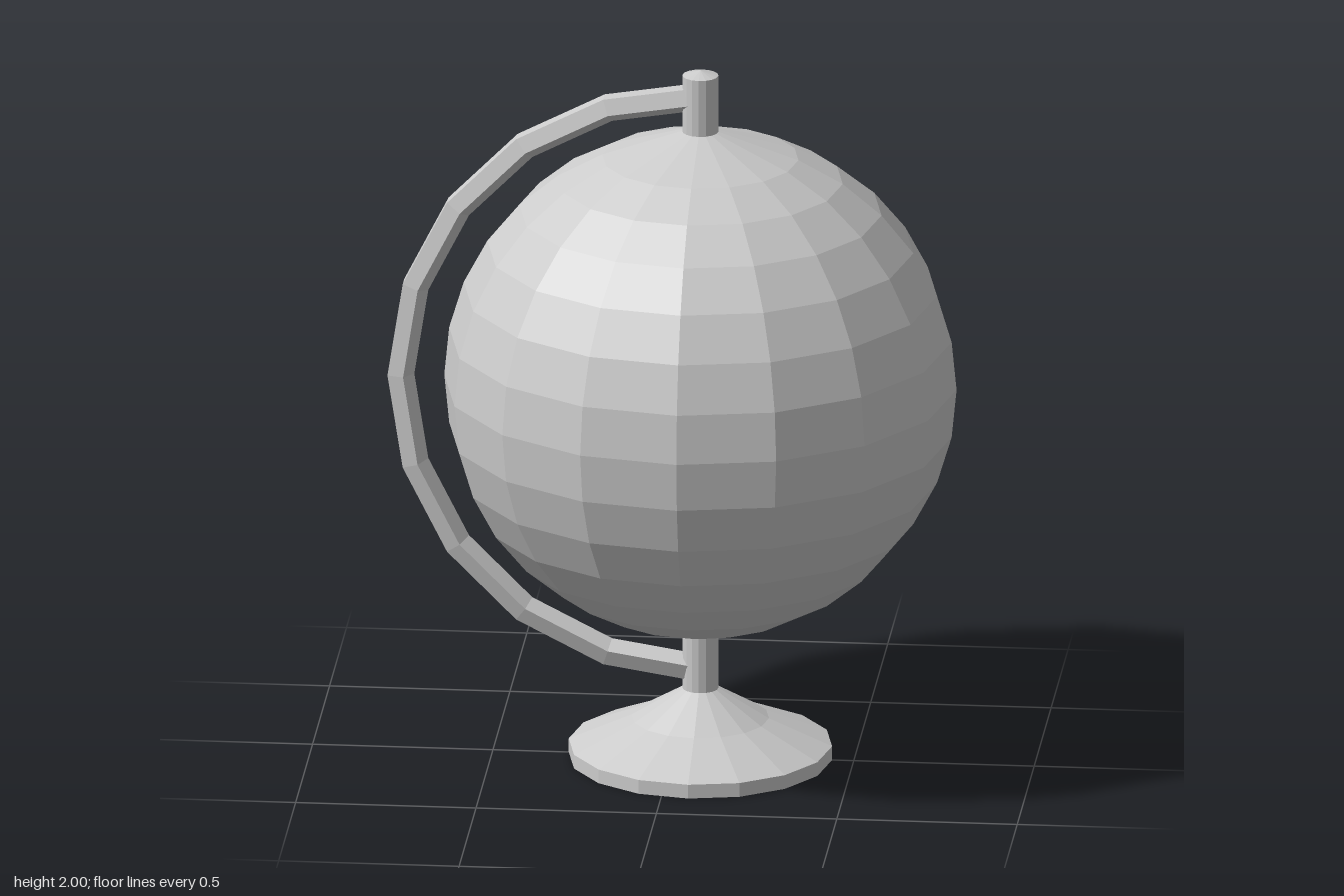
import * as THREE from 'three';

const AXIS_X = 0.075, CENTRE_Y = 1.09, SIDES = 16;
const GLOBE_R = 0.71, POLE_R = 0.05, ARM_R = 0.833, ARM_THICK = 0.04;

export function createModel() {
  const model = new THREE.Group();
  const material = new THREE.MeshStandardMaterial({ color: 0xcccccc, flatShading: true });

  const add = (name, geometry) => {
    const mesh = new THREE.Mesh(geometry, material);
    mesh.name = name;
    mesh.position.x = AXIS_X;
    model.add(mesh);
    return mesh;
  };
  // Profiles are [radius, height] pairs running from bottom to top
  const turned = (profile) =>
    new THREE.LatheGeometry(profile.map(([r, y]) => new THREE.Vector2(r, y)), SIDES);

  // Foot: thin rim with a slightly concave cone above
  add('base', turned([[0, 0], [0.365, 0], [0.365, 0.04], [0.19, 0.116], [POLE_R, 0.2]]));

  // Axle stubs below and above the globe
  add('lowerAxle', turned([[POLE_R, 0.19], [POLE_R, 0.37]]));
  add('upperAxle', turned([[POLE_R, 1.81], [POLE_R, 1.985], [0, 2]]));

  // Globe: even latitude rings, closing as cones onto the axle
  const rings = [[POLE_R, -0.732]];
  for (let i = -6; i <= 6; i++) {
    const a = (i * Math.PI) / 16;
    rings.push([GLOBE_R * Math.cos(a), GLOBE_R * Math.sin(a)]);
  }
  rings.push([POLE_R, 0.732]);
  add('globe', turned(rings)).position.y = CENTRE_Y;

  // Arm: five-sided bar swept through a half circle, flat side outwards
  const section = [];
  for (let i = 0; i <= 5; i++) {
    const a = Math.PI + (i * Math.PI * 2) / 5;
    section.push(new THREE.Vector2(ARM_R + ARM_THICK * Math.cos(a), ARM_THICK * Math.sin(a)));
  }
  const arm = new THREE.LatheGeometry(section, 10, Math.PI, Math.PI);
  arm.rotateX(Math.PI / 2);
  add('arm', arm).position.y = CENTRE_Y;

  return model;
}
